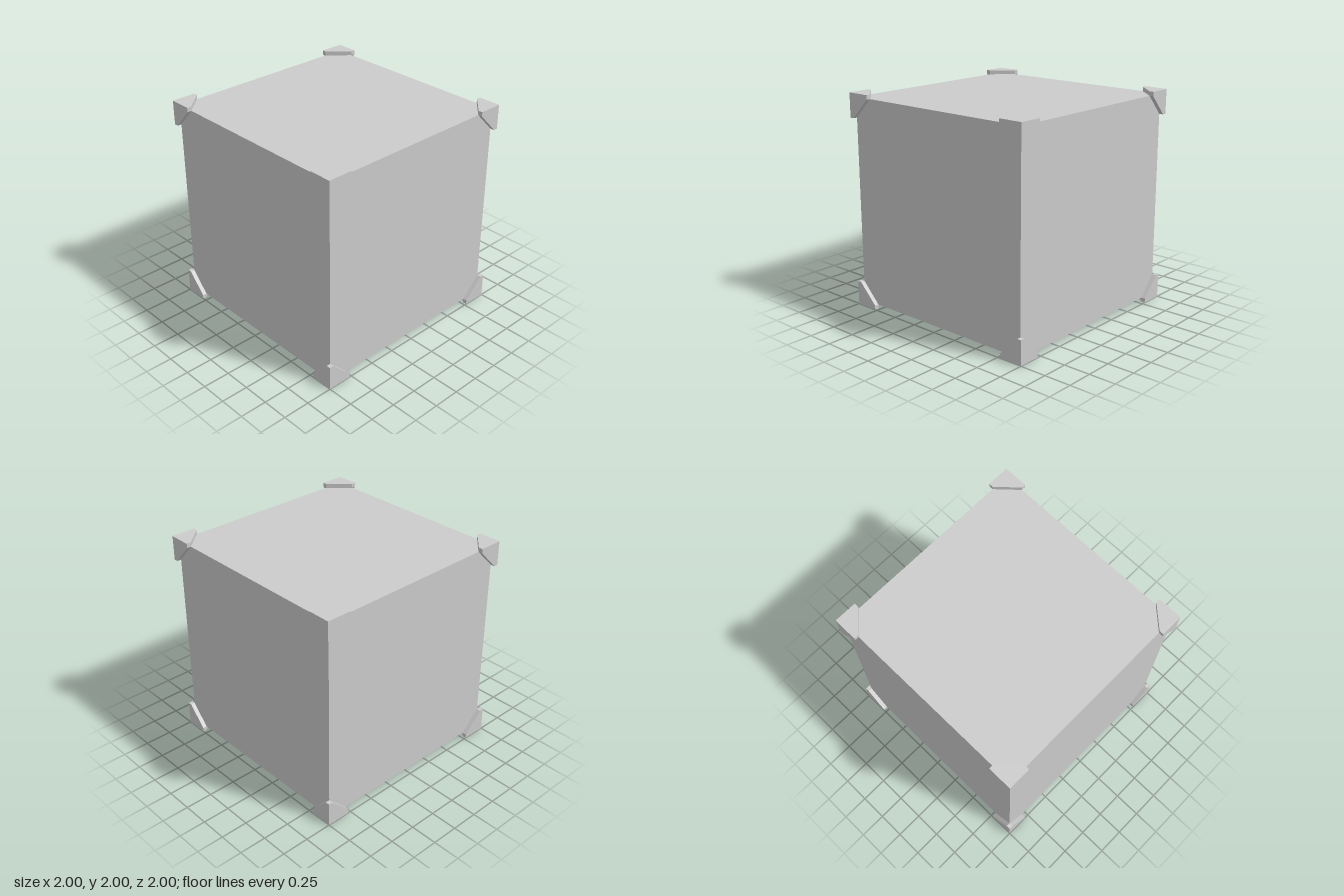
import * as THREE from 'three';

const INNER = 0.96;                    // half size of the cube
const OUTER = 1;                       // outer faces of the corner guards
const END = [0.788, 0.773, 0.773];     // where the guard's arms end along x, y, z

// One three-armed corner guard; s holds the signs of its corner.
function cornerGuard(s) {
  const positions = [];
  const flip = s[0] * s[1] * s[2] < 0;
  const I = INNER, O = OUTER;

  for (let a = 0; a < 3; a++) {
    const b = (a + 1) % 3, c = (a + 2) % 3;
    const eb = END[b], ec = END[c];
    // Convex polygon given as [along a, along b, along c], drawn as a fan
    const polygon = (corners) => {
      const pts = corners.map(([u, v, w]) => {
        const p = [0, 0, 0];
        p[a] = u * s[a];
        p[b] = v * s[b];
        p[c] = w * s[c];
        return p;
      });
      if (flip) pts.reverse();
      for (let k = 1; k < pts.length - 1; k++) positions.push(...pts[0], ...pts[k], ...pts[k + 1]);
    };
    // Outer plate
    polygon([[O, O, O], [O, eb, O], [O, eb, I], [O, I, ec], [O, O, ec]]);
    // Diagonal edge of the plate
    polygon([[I, eb, I], [I, I, ec], [O, I, ec], [O, eb, I]]);
    // Square end of the arm
    polygon([[END[a], I, I], [END[a], I, O], [END[a], O, O], [END[a], O, I]]);
    // Underside resting on the cube
    polygon([[I, eb, I], [I, I, I], [I, I, ec]]);
  }

  const geometry = new THREE.BufferGeometry();
  geometry.setAttribute('position', new THREE.Float32BufferAttribute(positions, 3));
  geometry.computeVertexNormals();
  return geometry;
}

export function createModel() {
  const model = new THREE.Group();
  model.name = 'boxWithCornerGuards';
  const material = new THREE.MeshStandardMaterial({ color: 0xcccccc, flatShading: true });

  // Main cube
  const cube = new THREE.Mesh(new THREE.BoxGeometry(2 * INNER, 2 * INNER, 2 * INNER), material);
  cube.name = 'cube';
  cube.position.y = 1;
  model.add(cube);

  // A guard on each of the eight corners
  for (const x of [-1, 1]) for (const y of [-1, 1]) for (const z of [-1, 1]) {
    const guard = new THREE.Mesh(cornerGuard([x, y, z]), material);
    guard.name = `${y > 0 ? 'top' : 'bottom'}${z > 0 ? 'Front' : 'Back'}${x > 0 ? 'Left' : 'Right'}CornerGuard`;
    guard.position.y = 1;
    model.add(guard);
  }
  return model;
}
